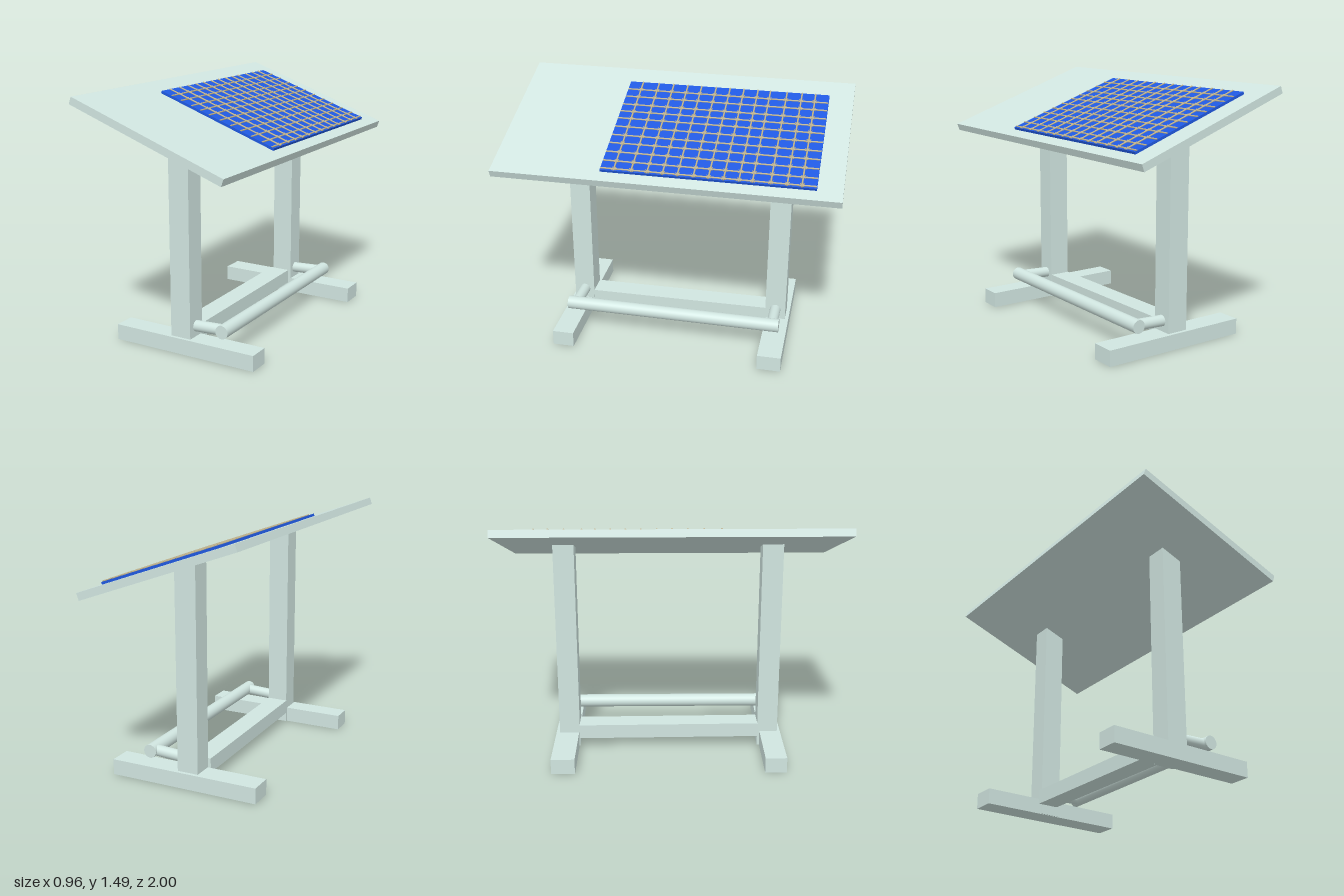
import * as THREE from 'three';

const paint = new THREE.MeshStandardMaterial({ name: 'pale grey-green', color: 0xd0e5e0 });
const blue = new THREE.MeshStandardMaterial({ name: 'mat blue', color: 0x2059e0 });
const cord = new THREE.MeshStandardMaterial({ name: 'cord tan', color: 0xbcb08c });

function add(parent, name, geometry, material, x = 0, y = 0, z = 0) {
  const mesh = new THREE.Mesh(geometry, material);
  mesh.name = name;
  mesh.position.set(x, y, z);
  parent.add(mesh);
  return mesh;
}

// Box given by its minimum and maximum along each axis
function block(parent, name, material, [x0, x1], [y0, y1], [z0, z1]) {
  return add(parent, name, new THREE.BoxGeometry(x1 - x0, y1 - y0, z1 - z0), material,
    (x0 + x1) / 2, (y0 + y1) / 2, (z0 + z1) / 2);
}

// Cylinder between two points
function rod(parent, name, material, radius, sides, from, to) {
  const a = new THREE.Vector3(...from);
  const b = new THREE.Vector3(...to);
  const dir = b.clone().sub(a);
  const mesh = add(parent, name, new THREE.CylinderGeometry(radius, radius, dir.length(), sides), material);
  mesh.position.copy(a).add(b).multiplyScalar(0.5);
  mesh.quaternion.setFromUnitVectors(new THREE.Vector3(0, 1, 0), dir.normalize());
  return mesh;
}

export function createModel() {
  const model = new THREE.Group();
  model.name = 'tiltedDesk';
  const tilt = Math.atan2(0.34, 0.95);

  // Tilted top; the mat and its cords lie in the same tilted frame
  const top = new THREE.Group();
  top.name = 'tiltedTop';
  top.position.y = 1.301;
  top.rotation.z = -tilt;
  model.add(top);
  add(top, 'board', new THREE.BoxGeometry(1.008, 0.044, 2), paint);
  block(top, 'mat', blue, [-0.36, 0.431], [0.022, 0.037], [-0.857, 0.36]);

  // Round cord grid with small crossed ties at the knots
  const across = [-0.255, -0.19, -0.12, -0.06, 0, 0.07, 0.14, 0.205, 0.275, 0.345, 0.405]
    .map((x) => (x - 0.014) / Math.cos(tilt));
  const along = [-0.775, -0.695, -0.605, -0.505, -0.43, -0.345, -0.26, -0.175, -0.085, 0, 0.088, 0.18, 0.28];
  for (const u of across) {
    rod(top, 'longCord', cord, 0.005, 16, [u, 0.038, -0.855], [u, 0.038, 0.358]);
  }
  for (const z of along) {
    rod(top, 'crossCord', cord, 0.005, 16, [-0.358, 0.039, z], [0.429, 0.039, z]);
  }
  for (const u of across) {
    for (const z of along) {
      for (const d of [-0.012, 0.012]) {
        rod(top, 'cordTie', cord, 0.0025, 12, [u - 0.012, 0.041, z - d], [u + 0.012, 0.041, z + d]);
      }
    }
  }

  // Posts with tops cut to the slope of the board
  const under = (x) => 1.279 - x * Math.tan(tilt);
  const profile = new THREE.Shape([
    new THREE.Vector2(-0.08, 0.002), new THREE.Vector2(0.05, 0.002),
    new THREE.Vector2(0.05, under(0.05)), new THREE.Vector2(-0.08, under(-0.08)),
  ]);
  const sides = [
    { post: [0.54, 0.665], foot: [0.555, 0.684], arm: 0.6 },
    { post: [-0.7, -0.575], foot: [-0.722, -0.58], arm: -0.637 },
  ];
  for (const { post, foot, arm } of sides) {
    const geometry = new THREE.ExtrudeGeometry(profile, { depth: post[1] - post[0], bevelEnabled: false });
    add(model, 'post', geometry, paint, 0, 0, post[0]);
    block(model, 'foot', paint, [-0.452, 0.474], [0, 0.094], foot);
    rod(model, 'footrestArm', paint, 0.033, 32, [0.03, 0.157, arm], [0.245, 0.168, arm]);
  }

  // Stretcher beam, very slightly askew, and round footrest
  const stretcher = block(model, 'stretcher', paint, [-0.09, 0.04], [0.062, 0.15], [-0.577, 0.545]);
  stretcher.rotation.y = 0.0134;
  rod(model, 'footrest', paint, 0.04, 32, [0.246, 0.17, -0.68], [0.246, 0.17, 0.645]);

  return model;
}
